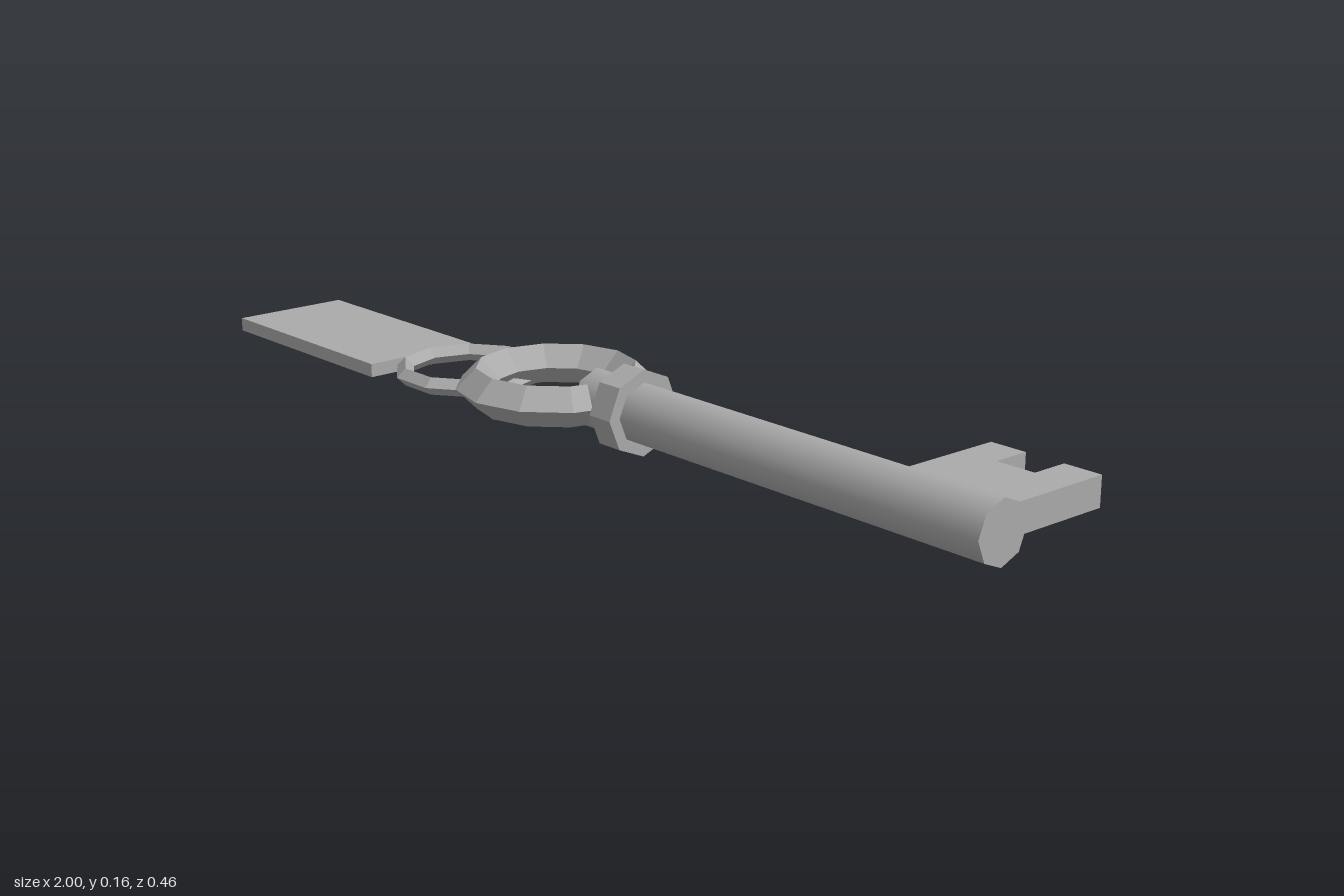
import * as THREE from 'three';

const CZ = 0.04; // shared centre line of the key
const CY = 0.083;

export function createModel() {
  const model = new THREE.Group();
  const steel = new THREE.MeshStandardMaterial({ color: 0xaaaaaa });
  steel.name = 'steel grey';

  const add = (name, geometry, x, y, z) => {
    const mesh = new THREE.Mesh(geometry, steel);
    mesh.name = name;
    mesh.position.set(x, y, z);
    model.add(mesh);
  };
  // Faceted copy of a geometry
  const flat = (geometry) => {
    const g = geometry.toNonIndexed();
    g.computeVertexNormals();
    return g;
  };
  // Eight-sided bar along x
  const bar = (radius, x0, x1) =>
    new THREE.CylinderGeometry(radius, radius, x1 - x0, 8).rotateZ(-Math.PI / 2);
  // Flat-lying ring with a diamond cross-section
  const ring = (radius, tube, sides) =>
    flat(new THREE.TorusGeometry(radius, tube, 4, sides).rotateX(-Math.PI / 2));

  // Key shaft and collar
  add('shaft', bar(0.058, 0.035, 1), 0.5175, CY, CZ);
  add('collar', flat(bar(0.082, 0.11, 0.165)), 0.1375, CY, CZ);

  // Handle ring and the thinner link ring
  add('bow', ring(0.153, 0.039, 12), -0.085, CY, CZ - 0.001);
  add('linkRing', ring(0.135, 0.0175, 10), -0.355, 0.053, CZ - 0.003);

  // Notched bit, drawn in x and -z, then laid flat
  const outline = [
    [0.745, -0.02], [0.977, -0.02], [0.977, 0.232], [0.9, 0.232],
    [0.9, 0.157], [0.82, 0.157], [0.82, 0.232], [0.745, 0.232],
  ].map(([x, y]) => new THREE.Vector2(x, y));
  const bit = new THREE.ExtrudeGeometry(new THREE.Shape(outline), { depth: 0.057, bevelEnabled: false });
  add('bit', bit.rotateX(-Math.PI / 2), 0, 0.056, 0);

  // Rectangular tag
  add('tag', new THREE.BoxGeometry(0.484, 0.027, 0.25), -0.758, 0.0395, CZ - 0.002);

  return model;
}
